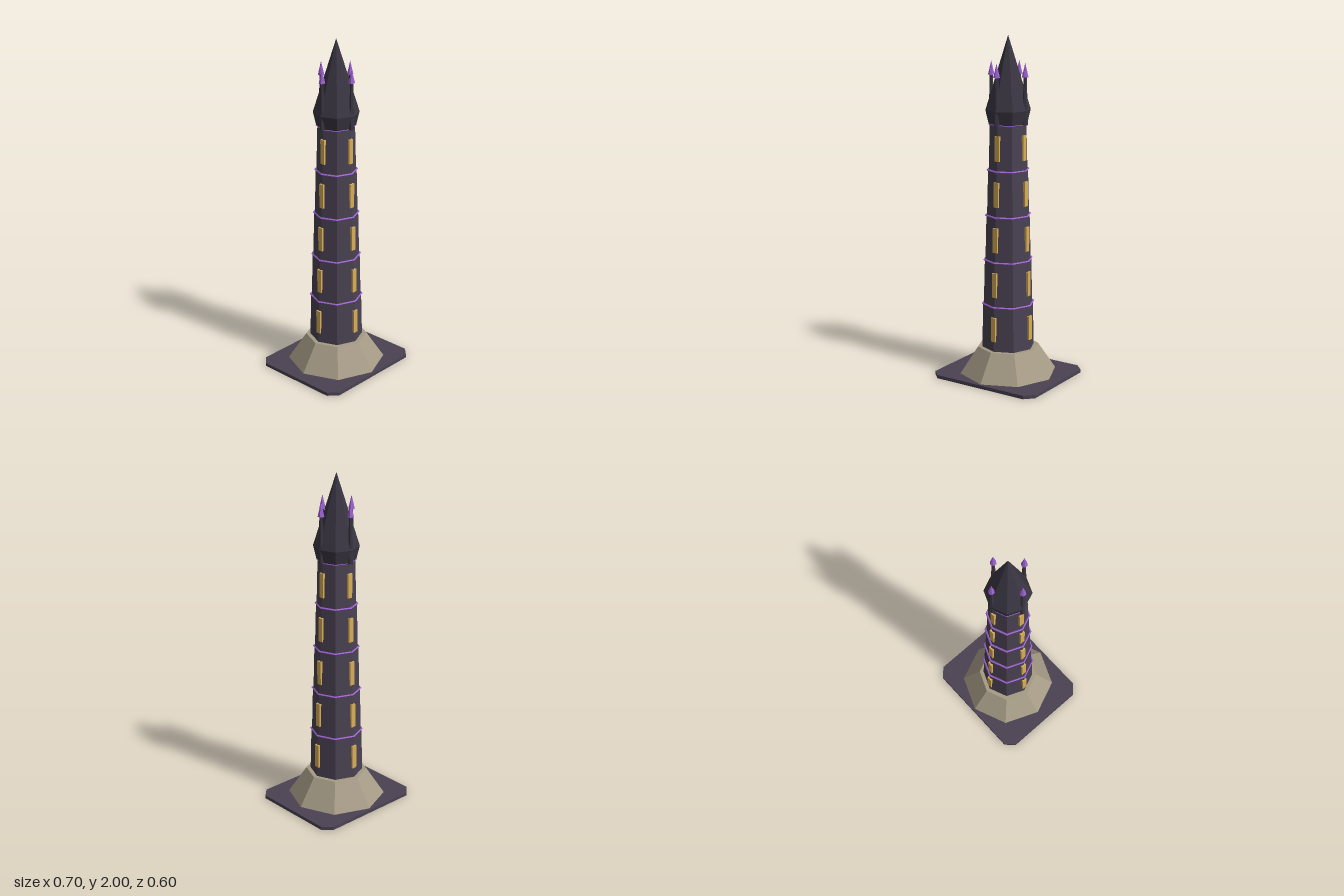
import * as THREE from 'three';

const mat = (name, color) => {
  const m = new THREE.MeshStandardMaterial({ color, flatShading: true });
  m.name = name;
  return m;
};

export function createModel() {
  const stone = mat('dark stone', 0x4a4252);
  const slate = mat('roof slate', 0x3a3642);
  const sand = mat('sandstone', 0xa59b86);
  const purple = mat('purple trim', 0x9e62d2);
  const gold = mat('window glow', 0xd9ae58);

  const tower = new THREE.Group();
  tower.name = 'tower';

  const add = (name, geometry, material, x, y, z, parent = tower) => {
    const mesh = new THREE.Mesh(geometry, material);
    mesh.name = name;
    mesh.position.set(x, y, z);
    parent.add(mesh);
    return mesh;
  };
  // Tapered prism standing on y
  const prism = (name, rTop, rBottom, y, height, sides, material, x = 0, z = 0, parent = tower) =>
    add(name, new THREE.CylinderGeometry(rTop, rBottom, height, sides), material, x, y + height / 2, z, parent);

  // Ground slab with cut corners
  const slab = new THREE.Shape([
    [-0.3, -0.3], [0.3, -0.3], [0.35, -0.25], [0.35, 0.25],
    [0.3, 0.3], [-0.3, 0.3], [-0.35, 0.25], [-0.35, -0.25],
  ].map(([x, y]) => new THREE.Vector2(x, y)));
  const slabGeometry = new THREE.ExtrudeGeometry(slab, { depth: 0.02, bevelEnabled: false });
  slabGeometry.rotateX(-Math.PI / 2);
  add('groundSlab', slabGeometry, stone, 0, 0, 0);

  // Sloped octagonal foot
  prism('foot', 0.18, 0.299, 0.001, 0.179, 8, sand);

  // Five narrowing storeys, each with a trim ring and four windows
  const storeyHeight = 0.264;
  for (let i = 0; i < 5; i++) {
    const y = 0.18 + i * storeyHeight;
    const r = 0.155 - i * 0.0105;
    const storey = new THREE.Group();
    storey.name = `storey${i + 1}`;
    tower.add(storey);
    prism('storeyWall', r - 0.007, r, y, storeyHeight, 8, stone, 0, 0, storey);

    const ring = new THREE.TorusGeometry(r - 0.004, 0.006, 4, 8).rotateX(Math.PI / 2);
    add('trimRing', ring, purple, 0, y + storeyHeight, 0, storey);

    for (let k = 0; k < 4; k++) {
      const a = (k * Math.PI) / 2;
      const d = r - 0.006;
      const pane = add('window', new THREE.BoxGeometry(0.03, 0.144, 0.016), gold,
        Math.sin(a) * d, y + storeyHeight / 2, Math.cos(a) * d, storey);
      pane.rotation.y = a;
    }
  }

  // Flared eaves and pointed spire
  prism('eaves', 0.131, 0.112, 1.5, 0.08, 8, slate);
  add('spire', new THREE.ConeGeometry(0.131, 0.42, 8), slate, 0, 1.79, 0);

  // Four slim pinnacles with purple tips
  for (let k = 0; k < 4; k++) {
    const a = (k * Math.PI) / 2;
    const pinnacle = new THREE.Group();
    pinnacle.name = 'pinnacle';
    pinnacle.position.set(Math.sin(a) * 0.115, 0, Math.cos(a) * 0.115);
    tower.add(pinnacle);
    prism('pinnacleShaft', 0.009, 0.016, 1.5, 0.27, 6, slate, 0, 0, pinnacle);
    add('pinnacleTip', new THREE.ConeGeometry(0.019, 0.08, 6), purple, 0, 1.81, 0, pinnacle);
  }

  return tower;
}
